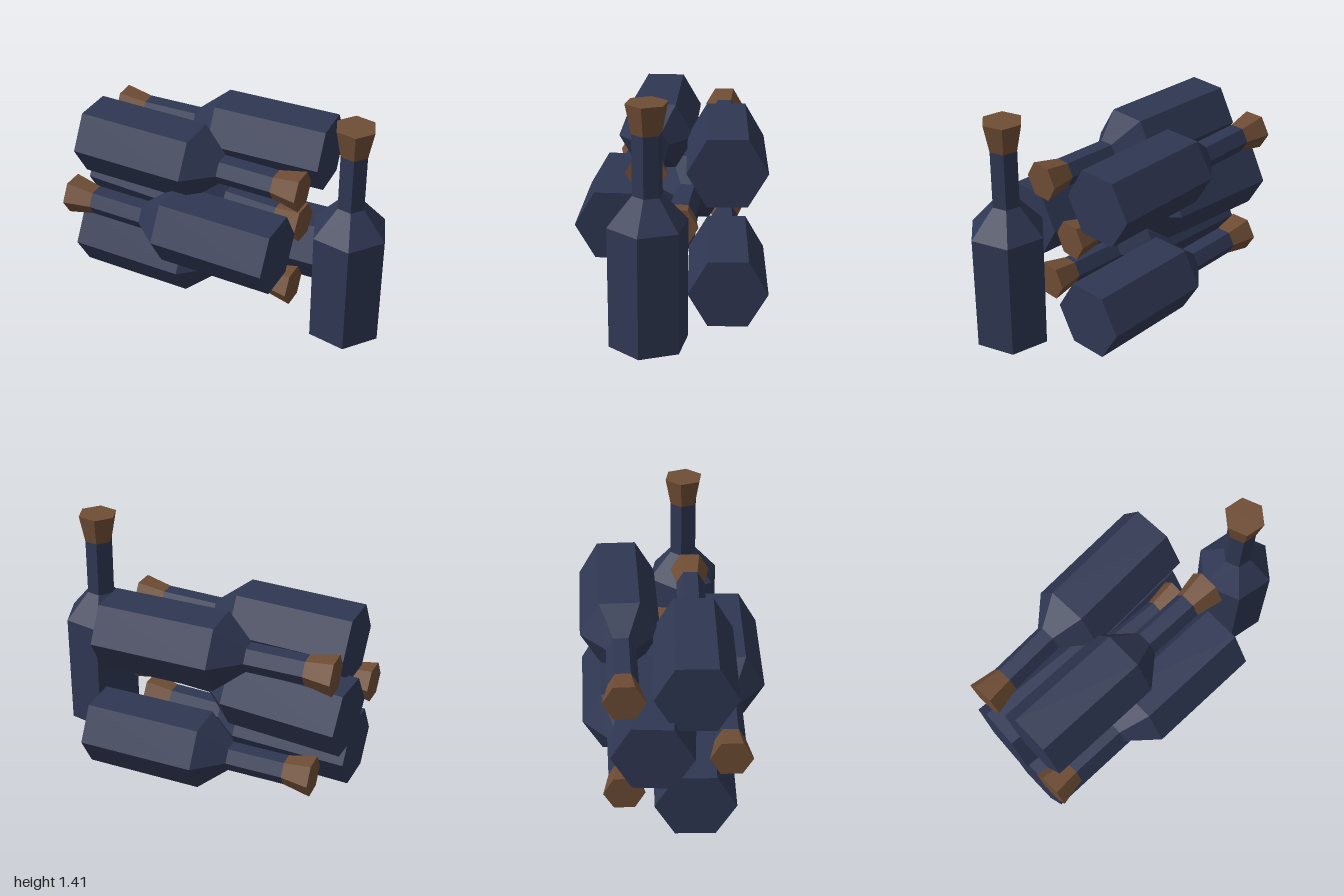
import * as THREE from 'three';

export function createModel() {
  const glass = new THREE.MeshStandardMaterial({ color: 0x2f3753, flatShading: true });
  glass.name = 'navyGlass';
  const cork = new THREE.MeshStandardMaterial({ color: 0x6f4d35, flatShading: true });
  cork.name = 'brownCork';

  // Six-sided section between two heights, with its base at y0
  const section = (rTop, rBottom, y0, y1, open) =>
    new THREE.CylinderGeometry(rTop, rBottom, y1 - y0, 6, 1, open).translate(0, (y0 + y1) / 2, 0);

  const parts = [
    ['body', section(0.234, 0.234, 0, 0.72, false), glass],
    ['shoulder', section(0.087, 0.234, 0.72, 0.89, true), glass],
    ['neck', section(0.087, 0.087, 0.89, 1.24, true), glass],
    ['stopper', section(0.121, 0.087, 1.24, 1.41, false), cork],
  ];

  const model = new THREE.Group();
  model.name = 'bottleStack';

  // A bottle placed by the centre of its base; roll tips it onto its side
  function addBottle(name, x, y, z, roll, yaw) {
    const bottle = new THREE.Group();
    bottle.name = name;
    for (const [partName, geometry, material] of parts) {
      const mesh = new THREE.Mesh(geometry, material);
      mesh.name = partName;
      bottle.add(mesh);
    }
    bottle.position.set(x, y, z);
    bottle.rotation.set(0, yaw, roll);
    model.add(bottle);
  }

  const toRight = -Math.PI / 2; // neck towards +x
  const toLeft = Math.PI / 2; // neck towards -x

  // Three rows of lying bottles, front and back
  addBottle('bottomFrontBottle', -0.97, 0.203, 0.14, toRight, 0);
  addBottle('bottomBackBottle', 0.555, 0.203, -0.335, toLeft, 0.05);
  addBottle('middleFrontBottle', 0.42, 0.558, 0.333, toLeft, 0);
  addBottle('middleBackBottle', -0.99, 0.558, -0.1, toRight, -0.047);
  addBottle('topFrontBottle', -0.93, 0.908, 0.14, toRight, 0);
  addBottle('topBackBottle', 0.46, 0.908, -0.32, toLeft, 0.05);

  // Upright bottle beside the stack
  addBottle('standingBottle', 0.768, 0, 0.106, 0, 0.37);

  return model;
}
